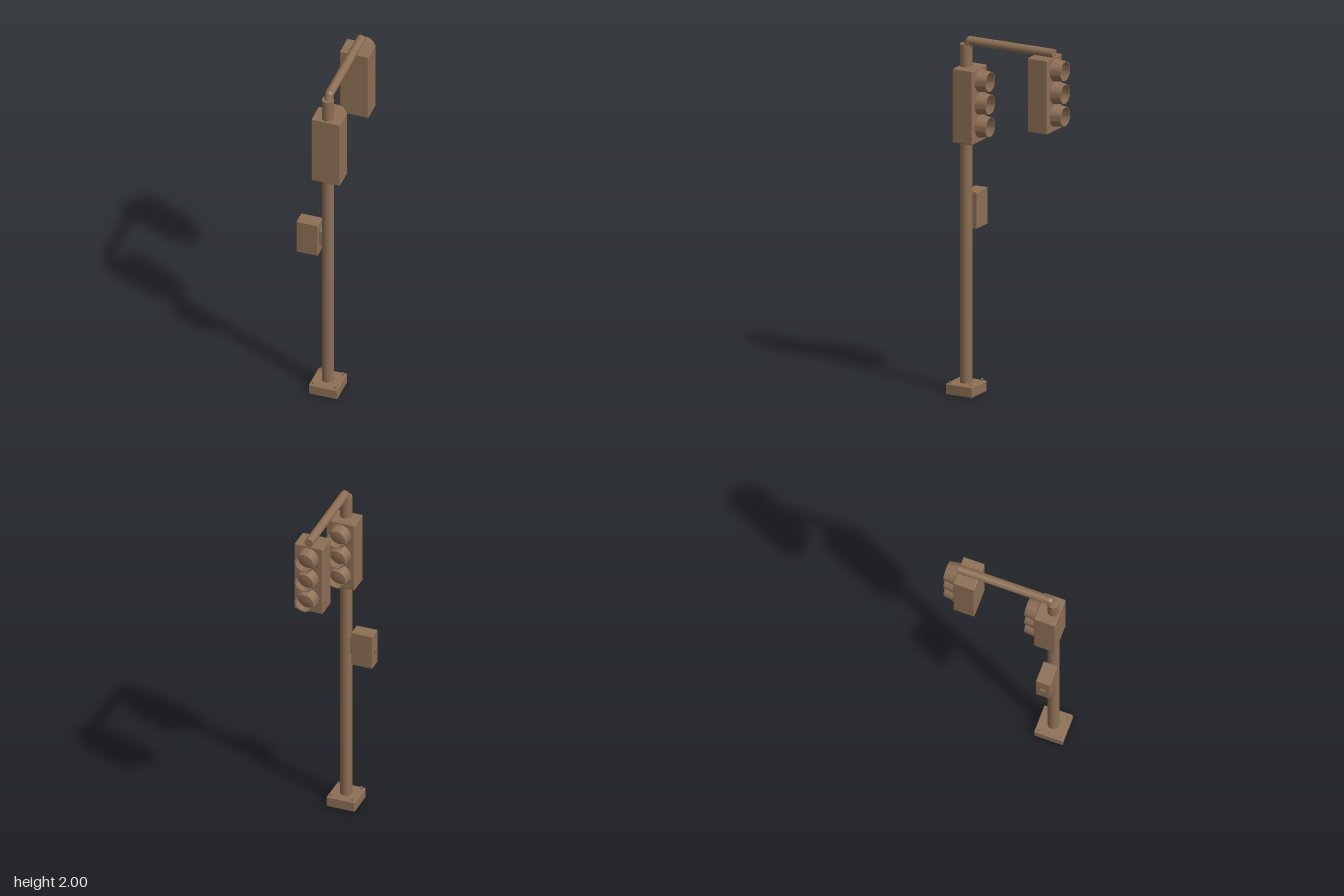
import * as THREE from 'three';
import { toCreasedNormals } from 'three/addons/utils/BufferGeometryUtils.js';
import { RoundedBoxGeometry } from 'three/addons/geometries/RoundedBoxGeometry.js';

const POLE_X = 0.045;
const POLE_Z = 0.2625;

export function createModel() {
  const brown = new THREE.MeshStandardMaterial({ color: 0x8c6e54 });
  brown.name = 'brown';
  const model = new THREE.Group();
  model.name = 'trafficLight';

  function add(parent, name, geometry, x, y, z) {
    const mesh = new THREE.Mesh(geometry, brown);
    mesh.name = name;
    mesh.position.set(x, y, z);
    parent.add(mesh);
    return mesh;
  }
  const block = (w, h, d, r = 0.005) => new RoundedBoxGeometry(w, h, d, 2, r);

  // Cylinder between two points
  function rod(name, from, to, radius) {
    const a = new THREE.Vector3(...from), b = new THREE.Vector3(...to);
    const dir = b.clone().sub(a);
    const mid = a.clone().add(b).multiplyScalar(0.5);
    const mesh = add(model, name, new THREE.CylinderGeometry(radius, radius, dir.length(), 32), mid.x, mid.y, mid.z);
    mesh.quaternion.setFromUnitVectors(new THREE.Vector3(0, 1, 0), dir.normalize());
  }

  // Base with four anchor bolts
  add(model, 'base', block(0.164, 0.06, 0.164), POLE_X, 0.03, POLE_Z);
  for (const sx of [-1, 1]) for (const sz of [-1, 1]) {
    add(model, 'anchorBolt', new THREE.CylinderGeometry(0.006, 0.006, 0.016, 12),
      POLE_X + sx * 0.063, 0.065, POLE_Z + sz * 0.063);
  }

  // Pole, angled elbow and overhead arm
  rod('pole', [POLE_X, 0.05, POLE_Z], [POLE_X, 1.955, POLE_Z], 0.033);
  rod('elbow', [POLE_X, 1.925, 0.262], [POLE_X, 1.976, 0.239], 0.024);
  add(model, 'elbowJoint', new THREE.SphereGeometry(0.0243, 24, 16), POLE_X, 1.9757, 0.239);
  rod('arm', [POLE_X, 1.9757, 0.239], [POLE_X, 1.9757, -0.281], 0.0243);

  // Visor with its mounting collar and a shallow domed lens
  const profile = [
    [0.052, -0.002], [0.052, 0.005], [0.0625, 0.005], [0.054, 0.066],
    [0.0505, 0.066], [0.056, 0.016], [0.04, 0.022], [0.02, 0.026], [0, 0.027],
  ].map(([r, h]) => new THREE.Vector2(r, h));
  const visorGeometry = toCreasedNormals(new THREE.LatheGeometry(profile, 40), 0.6);

  // Signal head: housing with three visors facing the back
  function signalHead(name, y, z) {
    const head = new THREE.Group();
    head.name = name;
    head.position.set(POLE_X, y, z);
    add(head, 'housing', block(0.164, 0.415, 0.122, 0.006), 0, 0, 0);
    for (const row of [-1, 0, 1]) {
      add(head, 'visor', visorGeometry, 0, row * 0.127 + 0.011, -0.061).rotation.x = -Math.PI / 2;
    }
    model.add(head);
  }
  signalHead('poleSignal', 1.6225, 0.241);
  signalHead('armSignal', 1.7475, -0.222);

  // Control box with bracket and latch
  add(model, 'controlBox', block(0.122, 0.205, 0.08, 0.004), -0.061, 1.0125, POLE_Z);
  add(model, 'boxBracket', new THREE.BoxGeometry(0.03, 0.1, 0.03), 0.01, 1.0125, POLE_Z);
  add(model, 'latch', block(0.012, 0.028, 0.03, 0.002), -0.124, 1.01, POLE_Z);

  return model;
}
